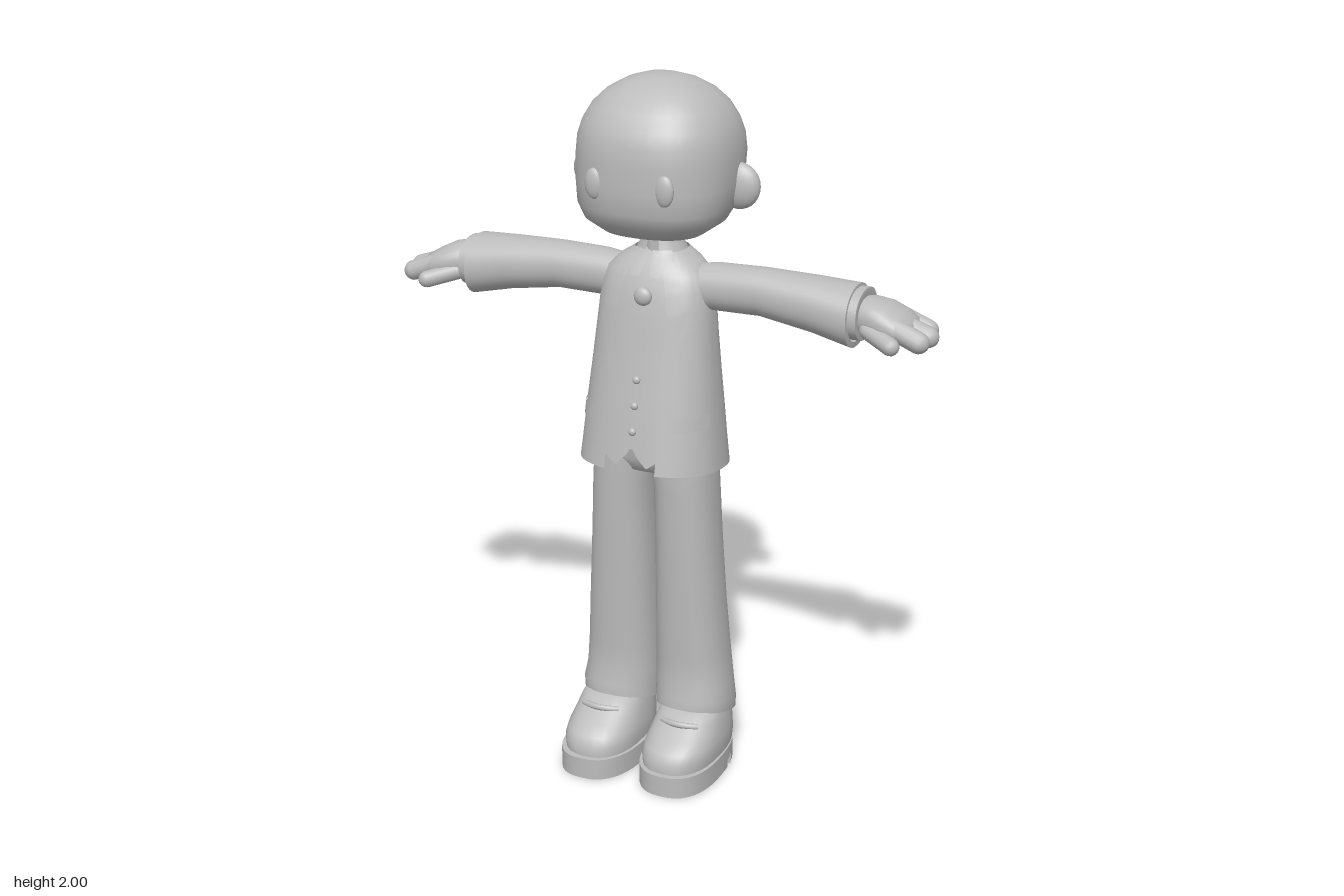
import * as THREE from 'three';
import { toCreasedNormals } from 'three/addons/utils/BufferGeometryUtils.js';

const clay = new THREE.MeshStandardMaterial({ color: 0xbcbcbc, side: THREE.DoubleSide });
clay.name = 'clay grey';

function add(parent, name, geometry) {
  const mesh = new THREE.Mesh(geometry, clay);
  mesh.name = name;
  parent.add(mesh);
  return mesh;
}

// Grid of points (rows x cols) to a creased surface.
function surface(rows, closed) {
  const n = rows[0].length, pos = rows.flat(2), idx = [];
  for (let i = 0; i < rows.length - 1; i++)
    for (let j = 0; j < (closed ? n : n - 1); j++) {
      const k = (j + 1) % n, a = i * n + j, b = i * n + k, c = a + n, d = b + n;
      idx.push(a, b, d, a, d, c);
    }
  const g = new THREE.BufferGeometry();
  g.setAttribute('position', new THREE.Float32BufferAttribute(pos, 3));
  g.setIndex(idx);
  g.computeVertexNormals();
  return toCreasedNormals(g, 1.0);
}

// Superellipse loft. Section: [t, u0, u1, v0, v1]; axis y: u=x v=z, axis x: u=z v=y.
// gap(t) leaves a front opening of that half width.
function loft(sections, { n = 2.3, seg = 32, axis = 'y', gap, warp } = {}) {
  const rows = sections.map(([t, u0, u1, v0, v1], i) => {
    const ru = (u1 - u0) / 2, rv = (v1 - v0) / 2, row = [];
    const start = gap ? Math.asin(Math.min(1, gap(t) / ru) ** (n / 2)) : 0;
    for (let j = 0; j < (gap ? seg + 1 : seg); j++) {
      const th = start + (2 * Math.PI - 2 * start) * j / seg;
      const s = Math.sin(th), c = Math.cos(th);
      const u = (u0 + u1) / 2 + ru * Math.sign(s) * Math.abs(s) ** (2 / n);
      const v = (v0 + v1) / 2 + rv * Math.sign(c) * Math.abs(c) ** (2 / n);
      const p = axis === 'y' ? [u, t, v] : [t, v, u];
      if (warp) warp(p, i);
      row.push(p);
    }
    return row;
  });
  return surface(rows, !gap);
}

// Symmetric body section: [y, half width, back z, front z]
const sym = rows => rows.map(([y, x, b, f]) => [y, -x, x, b, f]);
const BODY = [[0.93, 0.205, -0.16, 0.185], [1.0, 0.198, -0.15, 0.173], [1.1, 0.189, -0.14, 0.155],
  [1.2, 0.179, -0.13, 0.135], [1.3, 0.17, -0.12, 0.115], [1.38, 0.163, -0.116, 0.1], [1.43, 0.157, -0.112, 0.086],
  [1.47, 0.145, -0.11, 0.07], [1.5, 0.112, -0.107, 0.05], [1.525, 0.072, -0.1, 0.03], [1.55, 0.05, -0.08, 0.018]];

function tween(table, y) {
  let i = 0;
  while (i < table.length - 2 && table[i + 1][0] < y) i++;
  const a = table[i], b = table[i + 1], k = THREE.MathUtils.clamp((y - a[0]) / (b[0] - a[0]), 0, 1);
  return a.map((v, j) => v + (b[j] - v) * k);
}

// Depth of the jacket front at x, y
function frontZ(x, y) {
  const [, rx, back, front] = tween(BODY, y);
  const q = Math.min(1, Math.abs(x) / rx) ** 2.4;
  return (front + back) / 2 + (front - back) / 2 * (1 - q) ** (1 / 2.4);
}

// Cloth piece lying on the front. Rows: [y, x0, x1]
function patch(rows, offset) {
  const grid = [];
  for (let i = 0; i < rows.length - 1; i++)
    for (let s = 0; s < (i === rows.length - 2 ? 5 : 4); s++) {
      const [y, a, b] = rows[i].map((v, j) => v + (rows[i + 1][j] - v) * s / 4);
      grid.push(Array.from({ length: 7 }, (_, j) => {
        const x = a + (b - a) * j / 6;
        return [x, y, frontZ(x, y) + offset];
      }));
    }
  return surface(grid, false);
}

function capsule(p, q, r) {
  const a = new THREE.Vector3(...p), b = new THREE.Vector3(...q), d = b.clone().sub(a);
  const g = new THREE.CapsuleGeometry(r, d.length(), 6, 12);
  g.applyQuaternion(new THREE.Quaternion().setFromUnitVectors(new THREE.Vector3(0, 1, 0), d.clone().normalize()));
  const m = a.add(b).multiplyScalar(0.5);
  return g.translate(m.x, m.y, m.z);
}

function ball(parent, name, [x, y, z], [sx, sy, sz]) {
  return add(parent, name, new THREE.SphereGeometry(1, 20, 14).scale(sx, sy, sz).translate(x, y, z));
}

// Foot outline cut to a z range and extruded upwards
function soleSlab(z0, z1, y, height, inset = 0) {
  const pts = [];
  for (let i = 0; i < 40; i++) {
    const th = i / 40 * Math.PI * 2, s = Math.sin(th), c = Math.cos(th);
    const z = THREE.MathUtils.clamp(0.055 + (0.19 - inset) * Math.sign(s) * Math.abs(s) ** 0.8, z0, z1);
    const x = 0.118 + (0.112 - inset) * Math.sign(c) * Math.abs(c) ** 0.8 + z * 0.03;
    pts.push(new THREE.Vector2(x, -z));
  }
  const g = new THREE.ExtrudeGeometry(new THREE.Shape(pts), { depth: height, bevelEnabled: false });
  return toCreasedNormals(g.rotateX(-Math.PI / 2).translate(0, y, 0), 0.6);
}

function buildSide(side) {
  // Ear and eye
  ball(side, 'ear', [0.213, 1.71, -0.055], [0.062, 0.064, 0.033]);
  ball(side, 'eye', [0.101, 1.735, 0.172], [0.027, 0.042, 0.014]).geometry.rotateY(0.0);

  // Sleeve, shirt cuff and buttons
  add(side, 'sleeve', loft([[0.08, -0.09, 0.035, 1.36, 1.485], [0.17, -0.092, 0.034, 1.368, 1.497],
    [0.3, -0.097, 0.036, 1.37, 1.5], [0.45, -0.112, 0.05, 1.347, 1.496], [0.566, -0.126, 0.061, 1.32, 1.49],
    [0.568, -0.11, 0.045, 1.336, 1.474], [0.54, -0.108, 0.043, 1.338, 1.472]], { axis: 'x', n: 2.2 }));
  add(side, 'shirtCuff', loft([[0.54, -0.116, 0.051, 1.343, 1.482], [0.59, -0.116, 0.051, 1.343, 1.482],
    [0.592, -0.105, 0.04, 1.354, 1.47], [0.575, -0.033, -0.032, 1.411, 1.412]], { axis: 'x', n: 2.2 }));
  for (const x of [0.5, 0.545]) ball(side, 'sleeveButton', [x, 1.445, -0.112], [0.012, 0.012, 0.01]);

  // Hand with three fingers and a thumb
  add(side, 'palm', loft([[0.56, -0.085, 0.02, 1.37, 1.455], [0.61, -0.1, 0.035, 1.357, 1.462],
    [0.65, -0.115, 0.044, 1.35, 1.453], [0.69, -0.118, 0.042, 1.348, 1.433], [0.72, -0.1, 0.03, 1.352, 1.415],
    [0.735, -0.035, -0.034, 1.38, 1.382]], { axis: 'x' }));
  for (const [z, tip] of [[-0.097, 0.74], [-0.04, 0.76], [0.016, 0.753]])
    add(side, 'finger', capsule([0.66, 1.405, z * 0.85 - 0.005], [tip, 1.37, z], 0.029));
  add(side, 'thumb', capsule([0.615, 1.385, 0.02], [0.69, 1.362, 0.055], 0.024));

  // Trouser leg with a slanted hem
  add(side, 'trouserLeg', loft([[0.176, 0.004, 0.224, -0.137, 0.095], [0.21, 0.003, 0.226, -0.134, 0.093],
    [0.26, 0.001, 0.218, -0.132, 0.083], [0.35, 0.004, 0.21, -0.123, 0.085], [0.5, 0.007, 0.2, -0.11, 0.092],
    [0.7, 0.009, 0.188, -0.102, 0.098], [0.86, 0.008, 0.18, -0.1, 0.105], [0.93, -0.002, 0.176, -0.1, 0.106],
    [1.05, -0.01, 0.165, -0.1, 0.105]],
    { n: 2.3, warp: (p, i) => { if (i < 3) p[1] += p[2] * [0.24, 0.2, 0.1][i]; } }));

  // Shoe
  add(side, 'heel', soleSlab(-0.14, -0.012, 0, 0.03));
  add(side, 'foreSole', soleSlab(0.002, 0.25, 0, 0.03));
  add(side, 'sole', soleSlab(-0.14, 0.25, 0.022, 0.04));
  add(side, 'shoeUpper', loft([[0.055, 0.018, 0.225, -0.125, 0.228], [0.09, 0.015, 0.229, -0.127, 0.23],
    [0.115, 0.018, 0.227, -0.126, 0.212], [0.14, 0.023, 0.222, -0.124, 0.175], [0.17, 0.028, 0.216, -0.12, 0.13],
    [0.2, 0.035, 0.208, -0.115, 0.09], [0.215, 0.11, 0.12, -0.02, -0.01]], { n: 2.5 }));
  const lace = new THREE.QuadraticBezierCurve3(new THREE.Vector3(0.07, 0.168, 0.112),
    new THREE.Vector3(0.125, 0.176, 0.148), new THREE.Vector3(0.18, 0.168, 0.112));
  add(side, 'shoeStrap', new THREE.TubeGeometry(lace, 12, 0.009, 8));

  // Waistcoat half, lapel, pocket flap and shirt collar flap
  add(side, 'waistcoat', patch([[0.955, 0.044, 0.05], [0.985, 0.014, 0.09], [1.01, 0, 0.09], [1.2, 0, 0.095],
    [1.4, 0, 0.095], [1.47, 0.035, 0.09], [1.52, 0.05, 0.06]], -0.008));
  add(side, 'lapel', patch([[1.2, 0.074, 0.078], [1.3, 0.074, 0.108], [1.385, 0.072, 0.132], [1.39, 0.072, 0.105],
    [1.44, 0.062, 0.105], [1.5, 0.044, 0.08], [1.53, 0.03, 0.052]], 0.006));
  const flap = patch([[1.06, 0.105, 0.187], [1.1, 0.105, 0.185]], 0.008);
  add(side, 'pocketFlap', flap);
  add(side, 'collarFlap', patch([[1.455, 0.022, 0.03], [1.485, 0.012, 0.05], [1.53, 0.004, 0.05]], 0.008));
}

export function createModel() {
  const model = new THREE.Group();
  model.name = 'suitedFigure';

  // Head and neck
  add(model, 'head', loft(sym([[1.563, 0.002, 0.0, 0.002], [1.566, 0.07, -0.06, 0.06], [1.585, 0.14, -0.105, 0.125],
    [1.62, 0.19, -0.155, 0.168], [1.66, 0.21, -0.195, 0.186], [1.72, 0.219, -0.232, 0.189], [1.79, 0.22, -0.246, 0.188],
    [1.84, 0.215, -0.24, 0.184], [1.88, 0.202, -0.224, 0.171], [1.92, 0.179, -0.198, 0.145], [1.955, 0.143, -0.162, 0.11],
    [1.98, 0.098, -0.12, 0.066], [1.995, 0.05, -0.075, 0.02], [2.0, 0.001, -0.028, -0.026]]), { n: 2.4, seg: 40 }));
  add(model, 'neck', loft(sym([[1.45, 0.046, -0.08, 0.02], [1.6, 0.044, -0.075, 0.018]]), { n: 2 }));

  // Shirt body, closed up to the neck
  const inner = [tween(BODY, 1.0), ...BODY.slice(2)].map(([y, x, b, f]) => [y, x - 0.014, b + 0.014, f - 0.014]);
  add(model, 'shirt', loft(sym(inner), { n: 2.4 }));
  add(model, 'collar', loft(sym([[1.505, 0.08, -0.106, 0.04], [1.535, 0.062, -0.096, 0.03], [1.56, 0.052, -0.085, 0.024]]),
    { n: 2.1, gap: y => 0.025 - (y - 1.505) * 0.2 }));

  // Jacket, open in front, hem dropping to the back with a small vent
  const opening = [[0.93, 0.075], [1.38, 0.075], [1.5, 0.046], [1.53, 0.03]];
  add(model, 'jacket', loft(sym(BODY.slice(0, -1)), {
    n: 2.4, seg: 64, gap: y => tween(opening, y)[1],
    warp: (p, i) => {
      if (i > 0) return;
      p[1] += p[2] * 0.075 - 0.004;
      if (p[2] < 0) p[1] += 0.075 * Math.max(0, 1 - Math.abs(p[0]) / 0.024);
    },
  }));

  // Trouser seat
  add(model, 'trouserSeat', loft(sym([[0.885, 0.02, -0.03, 0.03], [0.91, 0.1, -0.085, 0.09], [0.95, 0.17, -0.102, 0.108],
    [1.06, 0.165, -0.1, 0.107]]), { n: 2.5 }));

  // Brooch and waistcoat buttons
  ball(model, 'brooch', [0, 1.415, 0.09], [0.026, 0.026, 0.016]);
  for (const y of [1.05, 1.12, 1.19]) ball(model, 'waistcoatButton', [0, y, frontZ(0, y) - 0.006], [0.011, 0.011, 0.009]);

  // Left side and its mirror image
  for (const [name, s] of [['leftSide', 1], ['rightSide', -1]]) {
    const side = new THREE.Group();
    side.name = name;
    buildSide(side);
    side.scale.x = s;
    model.add(side);
  }
  return model;
}
